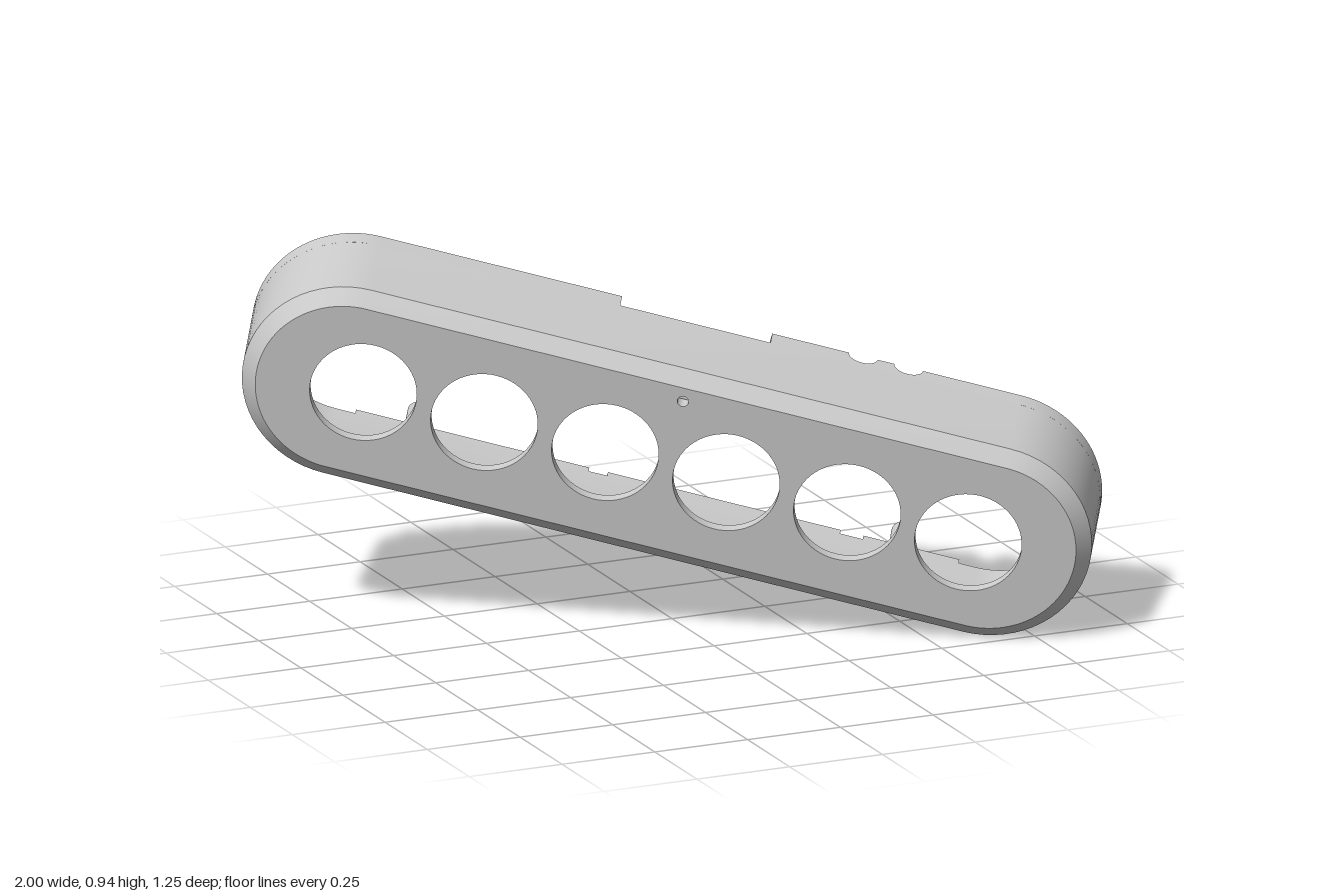
import * as THREE from 'three';
import { toCreasedNormals } from 'three/addons/utils/BufferGeometryUtils.js';

// Local frame: x along the housing, y across it, front face at z = 0, depth d = -z
const H = 0.809, R = 0.259, WALL = 0.03, RI = R - WALL;
const NOTCH = 0.284, RIM = 0.335, TONGUE = 0.355, PLATE = 0.03, CHAMFER = 0.036;
const mat = new THREE.MeshStandardMaterial({ color: 0xcccccc, side: THREE.DoubleSide });

export function createModel() {
  const body = new THREE.Group();
  body.name = 'housing';
  const add = (name, geo, x = 0, y = 0, z = 0) => {
    const mesh = new THREE.Mesh(toCreasedNormals(geo, 0.5), mat);
    mesh.name = name;
    mesh.position.set(x, y, z);
    body.add(mesh);
    return mesh;
  };
  const extrude = (shape, depth) =>
    new THREE.ExtrudeGeometry(shape, { depth, bevelEnabled: false, curveSegments: 32 });
  const circle = (x, y, r) => new THREE.Path().absarc(x, y, r, 0, Math.PI * 2, true);

  // Front plate with six round windows and an indicator hole
  const q = Math.PI / 2;
  const face = new THREE.Shape();
  face.absarc(H, 0, R - CHAMFER, -q, q, false);
  face.absarc(-H, 0, R - CHAMFER, q, 3 * q, false);
  for (let i = 0; i < 6; i++) face.holes.push(circle((i - 2.5) * 0.306, 0, 0.132));
  face.holes.push(circle(0, 0.187, 0.014));
  add('frontPlate', extrude(face, PLATE), 0, 0, -PLATE);

  // Chamfered wall with an inner fillet, swept around the rounded outline
  const profile = [[R - CHAMFER, 0], [R, CHAMFER], [R, NOTCH], [RI, NOTCH]];
  for (let i = 0; i <= 8; i++) {
    const a = (i / 8) * q;
    profile.push([RI - 0.05 * (1 - Math.cos(a)), PLATE + 0.05 * (1 - Math.sin(a))]);
  }
  add('sideWall', sweep(profile));

  // Rear part of the wall, open along the top straight
  const ring = new THREE.Shape();
  ring.moveTo(-H, R);
  ring.absarc(-H, 0, R, q, 3 * q, false);
  ring.absarc(H, 0, R, -q, q, false);
  ring.lineTo(H, RI);
  ring.absarc(H, 0, RI, q, -q, true);
  ring.absarc(-H, 0, RI, 3 * q, q, true);
  add('rearWall', extrude(ring, RIM - NOTCH), 0, 0, -RIM);

  // Top wall edge: plain on the left, two round cable notches on the right
  const topEdge = (name, shape) => add(name, extrude(shape, WALL).rotateX(-q), 0, RI, 0);
  const left = new THREE.Shape();
  left.moveTo(-H, NOTCH).lineTo(-0.2, NOTCH).lineTo(-0.2, RIM).lineTo(-H, RIM);
  topEdge('topEdgeLeft', left);
  const right = new THREE.Shape();
  right.moveTo(0.18, NOTCH).lineTo(H, NOTCH).lineTo(H, RIM);
  for (const u of [0.525, 0.41]) right.absarc(u, RIM, 0.036, 0, -Math.PI, true);
  right.lineTo(0.18, RIM);
  topEdge('topEdgeRight', right);

  // Locating tongues on the inner half of the rim
  const tongue = (u0, u1, side) => add('rimTongue',
    new THREE.BoxGeometry(u1 - u0, WALL / 2, TONGUE - RIM + 0.004),
    (u0 + u1) / 2, side * (RI + WALL / 4), -(TONGUE + RIM - 0.004) / 2);
  for (const [a, b] of [[-0.77, -0.2], [0.18, 0.365], [0.575, 0.76]]) tongue(a, b, 1);
  for (const [a, b] of [[-0.76, -0.17], [-0.123, 0.466], [0.524, 0.766]]) tongue(a, b, -1);

  // Small pins on the rounded ends of the rim
  for (const s of [-1, 1]) {
    add('endPin', new THREE.CylinderGeometry(0.012, 0.012, 0.03, 20).rotateX(q),
      s * (H + R - WALL / 2), 0, -RIM - 0.008);
  }

  // Hollow posts; the corner ones have a rib to the wall
  const post = (name, x, y, r, bore, end) => {
    const s = new THREE.Shape().absarc(x, y, r, 0, Math.PI * 2, false);
    s.holes.push(circle(x, y, bore));
    add(name, extrude(s, end - PLATE + 0.002), 0, 0, -end);
  };
  for (const sx of [-1, 1]) for (const sy of [-1, 1]) {
    post('screwPost', sx * 0.612, sy * 0.17, 0.027, 0.014, 0.31);
    add('postRib', new THREE.BoxGeometry(0.012, 0.04, 0.265),
      sx * 0.612, sy * 0.213, -0.16);
  }
  post('indicatorTube', 0, 0.187, 0.022, 0.014, 0.28);

  // Tilt the housing into its resting pose
  const n = new THREE.Vector3(-0.483, -0.16, 0.861).normalize();
  const l = new THREE.Vector3(0.866, -0.2386, 0.441);
  l.addScaledVector(n, -l.dot(n)).normalize();
  const u = new THREE.Vector3().crossVectors(n, l);
  body.quaternion.setFromRotationMatrix(new THREE.Matrix4().makeBasis(l, u, n));
  body.position.set(-0.0875, 0.442, 0.155);

  const model = new THREE.Group();
  model.name = 'instrumentHousing';
  model.add(body);
  return model;
}

// Sweeps [radius, depth] pairs around the outline of two half circles
function sweep(profile) {
  const half = 32, count = 2 * (half + 1), pos = [], idx = [];
  for (const [r, d] of profile) {
    for (let i = 0; i < count; i++) {
      const end = i <= half ? 0 : 1;
      const a = -Math.PI / 2 + ((i - end) / half) * Math.PI;
      pos.push((end ? -H : H) + r * Math.cos(a), r * Math.sin(a), -d);
    }
  }
  for (let j = 0; j < profile.length - 1; j++) {
    for (let i = 0; i < count; i++) {
      const k = (i + 1) % count, a = j * count, b = a + count;
      idx.push(a + i, b + i, a + k, b + i, b + k, a + k);
    }
  }
  const geo = new THREE.BufferGeometry();
  geo.setAttribute('position', new THREE.Float32BufferAttribute(pos, 3));
  geo.setIndex(idx);
  geo.computeVertexNormals();
  return geo;
}
